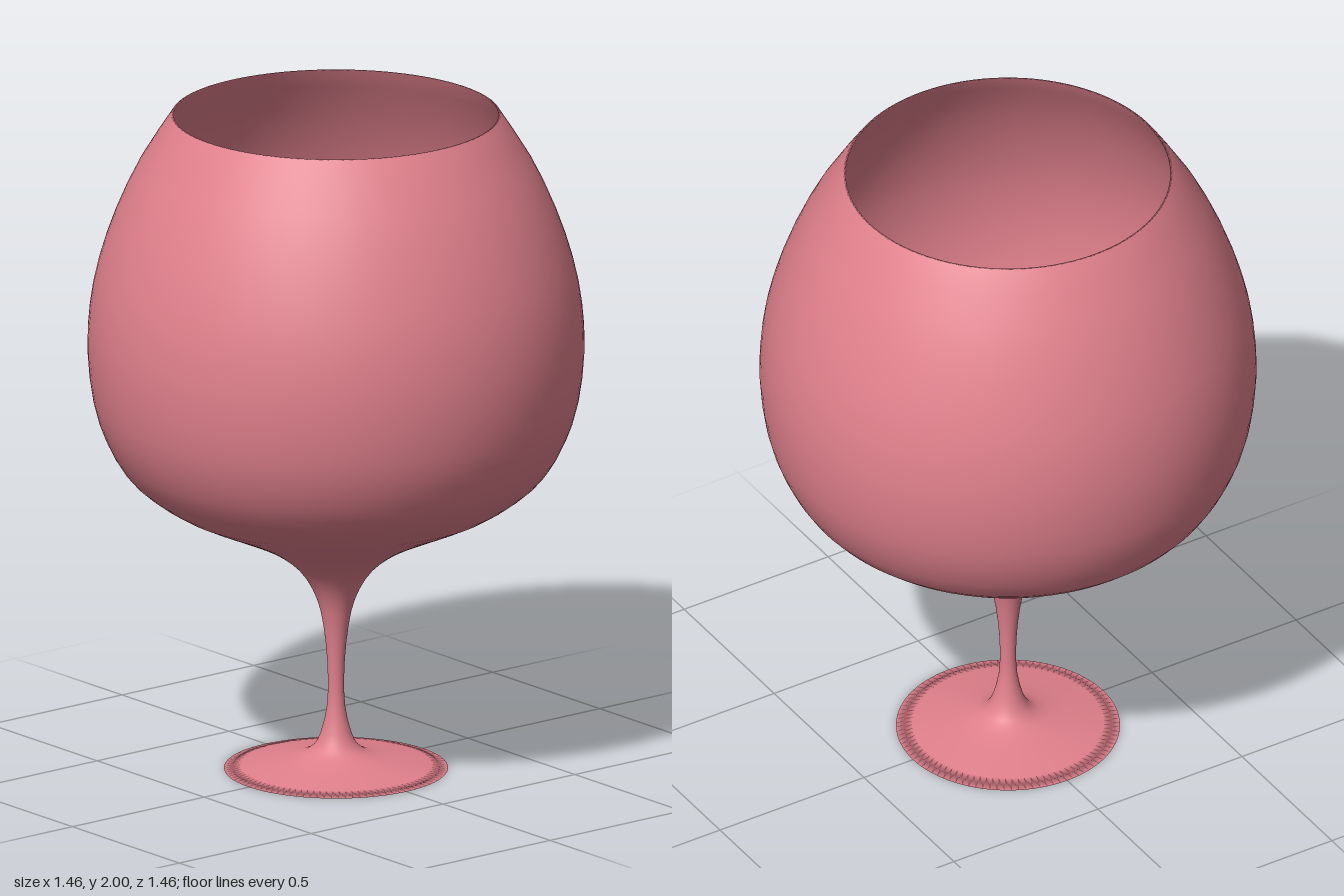
import * as THREE from 'three';

const material = new THREE.MeshStandardMaterial({ color: 0xe0808c });

// Smooth curve through a few [radius, height] pairs
function smoothProfile(pairs, divisions) {
  const curve = new THREE.SplineCurve(pairs.map(([r, y]) => new THREE.Vector2(r, y)));
  return curve.getPoints(divisions).map((p) => new THREE.Vector2(Math.max(p.x, 0), p.y));
}

export function createModel() {
  const group = new THREE.Group();
  group.name = 'snifterGlass';

  // Outside: foot edge, slim stem, wide bowl, narrow lip
  const outer = smoothProfile([
    [0.33, 0], [0.22, 0.02], [0.12, 0.04], [0.07, 0.065], [0.045, 0.11],
    [0.027, 0.19], [0.024, 0.28], [0.03, 0.38], [0.045, 0.48], [0.07, 0.55],
    [0.11, 0.61], [0.17, 0.66], [0.25, 0.705], [0.36, 0.755], [0.48, 0.81],
    [0.57, 0.87], [0.63, 0.93], [0.68, 1.02], [0.715, 1.13], [0.732, 1.28],
    [0.725, 1.42], [0.7, 1.55], [0.65, 1.7], [0.58, 1.85], [0.485, 2],
  ], 48);

  // Inside of the bowl, from the lip down to the rounded bottom
  const inner = smoothProfile([
    [0.478, 2], [0.568, 1.85], [0.638, 1.7], [0.688, 1.55], [0.713, 1.42],
    [0.72, 1.28], [0.703, 1.13], [0.667, 1.02], [0.615, 0.94], [0.55, 0.88],
    [0.46, 0.83], [0.34, 0.785], [0.18, 0.75], [0, 0.74],
  ], 28);

  // One continuous skin, closed by the flat underside of the foot
  const profile = [new THREE.Vector2(0, 0), ...outer, ...inner];
  const glass = new THREE.Mesh(new THREE.LatheGeometry(profile, 96), material);
  glass.name = 'bowlStemAndFoot';
  group.add(glass);

  return group;
}
